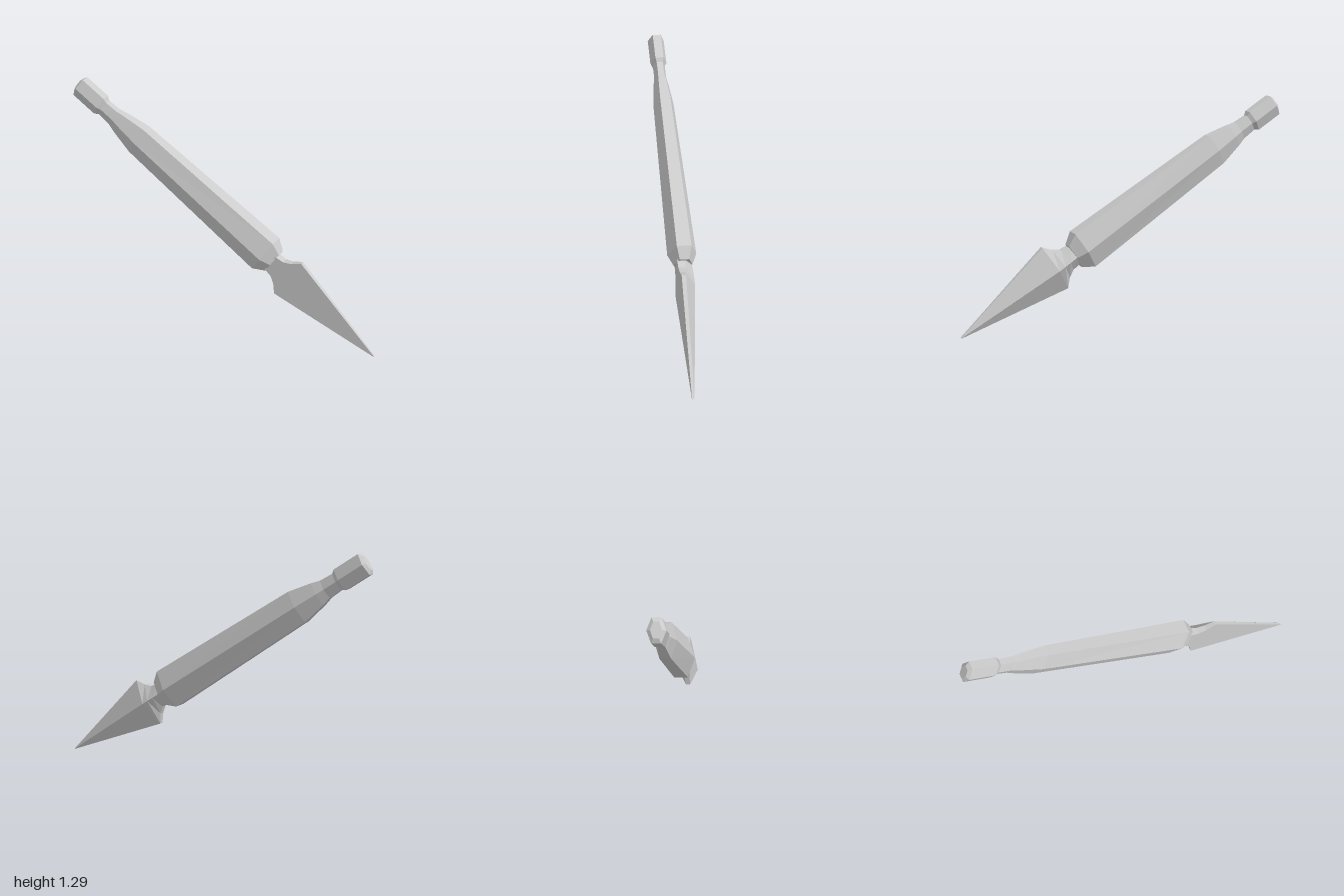
import * as THREE from 'three';

const material = new THREE.MeshStandardMaterial({ color: 0xcccccc, flatShading: true });

// Skin a row of convex rings; each section is { s, ring: [[y, z], ...] }, s along local x.
function loft(name, sections) {
  const pos = [];
  const n = sections[0].ring.length;
  const pt = (i, j) => [sections[i].s, ...sections[i].ring[j % n]];
  const tri = (a, b, c) => pos.push(...a, ...b, ...c);
  const last = sections.length - 1;
  for (let i = 0; i < last; i++) {
    for (let j = 0; j < n; j++) {
      tri(pt(i, j), pt(i, j + 1), pt(i + 1, j));
      tri(pt(i, j + 1), pt(i + 1, j + 1), pt(i + 1, j));
    }
  }
  for (let j = 1; j < n - 1; j++) {
    tri(pt(0, 0), pt(0, j + 1), pt(0, j));
    tri(pt(last, 0), pt(last, j), pt(last, j + 1));
  }
  const geometry = new THREE.BufferGeometry();
  geometry.setAttribute('position', new THREE.Float32BufferAttribute(pos, 3));
  geometry.computeVertexNormals();
  const mesh = new THREE.Mesh(geometry, material);
  mesh.name = name;
  return mesh;
}

// Six-sided section: flats above and below, points to front and back.
const hex = ([s, h, w]) => ({
  s,
  ring: [[h, -w / 2], [h, w / 2], [0, w], [-h, w / 2], [-h, -w / 2], [0, -w]],
});

// Blade section: flat front, thin side edges, ridge on the back.
const FRONT = 0.04;
const bladeSection = ([s, half, edge, ridge]) => ({
  s,
  ring: [[half, FRONT - edge], [half, FRONT], [-half, FRONT], [-half, FRONT - edge], [0, ridge]],
});

export function createModel() {
  const model = new THREE.Group();
  model.name = 'trowel';

  const tool = new THREE.Group();
  tool.name = 'tiltedTool';
  model.add(tool);

  // Pommel: [distance, half height, half depth]
  tool.add(loft('pommel', [
    [-1.158, 0.042, 0.03],
    [-1.143, 0.065, 0.05],
    [-0.978, 0.065, 0.05],
    [-0.955, 0.05, 0.037],
  ].map(hex)));

  // Grip: narrow neck swelling to the blade end
  tool.add(loft('grip', [
    [-0.955, 0.05, 0.037],
    [-0.872, 0.055, 0.037],
    [-0.82, 0.069, 0.046],
    [-0.678, 0.097, 0.062],
    [0.318, 0.119, 0.084],
    [0.384, 0.077, 0.054],
  ].map(hex)));

  // Blade: [distance, half width, edge thickness, ridge depth]
  tool.add(loft('blade', [
    [0.375, 0.06, 0.05, -0.05],
    [0.43, 0.07, 0.04, -0.054],
    [0.47, 0.1, 0.032, -0.055],
    [0.511, 0.15, 0.025, -0.055],
    [1.174, 0.002, 0.012, 0.026],
  ].map(bladeSection)));

  // Lay the tool along its slanting axis
  const axis = new THREE.Vector3(0.845, -0.535, 0.07).normalize();
  const up = new THREE.Vector3(0.535, 0.845, 0).normalize();
  const front = new THREE.Vector3().crossVectors(axis, up);
  tool.quaternion.setFromRotationMatrix(new THREE.Matrix4().makeBasis(axis, up, front));
  tool.position.set(0.004, 0.627, 0);
  return model;
}
